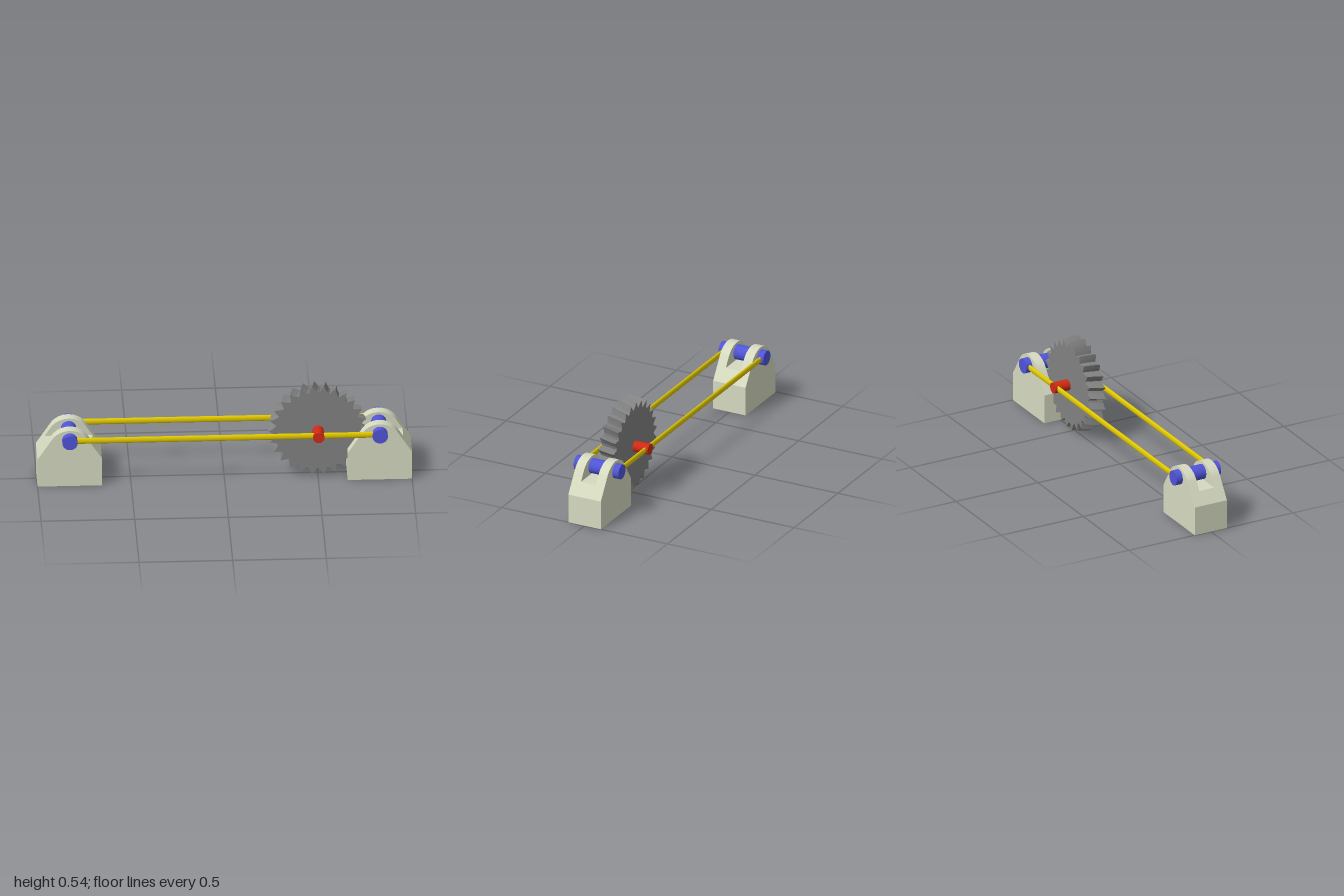
import * as THREE from 'three';

const mat = (color, extra = {}) => new THREE.MeshStandardMaterial({ color, ...extra });
const AXIS_Y = 0.275;

function add(parent, name, geometry, material) {
  const mesh = new THREE.Mesh(geometry, material);
  mesh.name = name;
  parent.add(mesh);
  return mesh;
}

// Ribbon that follows a path of [x, y] points between two depths
function strip(path, z0, z1) {
  const pos = [];
  for (let i = 0; i < path.length - 1; i++) {
    const [a, b] = path[i], [c, d] = path[i + 1];
    pos.push(a, b, z1, c, d, z0, c, d, z1, a, b, z1, a, b, z0, c, d, z0);
  }
  const g = new THREE.BufferGeometry();
  g.setAttribute('position', new THREE.Float32BufferAttribute(pos, 3));
  g.computeVertexNormals();
  return g;
}

const plate = (path, z, back) => {
  const g = new THREE.ShapeGeometry(new THREE.Shape(path.map(p => new THREE.Vector2(...p))));
  if (back) g.rotateY(Math.PI); // outline is symmetric
  return g.translate(0, 0, z);
};

// Forked support, open underneath, with a slot across the rounded top
function support(material) {
  const group = new THREE.Group();
  group.name = 'support';
  const W = 0.098, S = 0.045;
  const right = [[0.172, 0], [0.172, 0.162], [0.127, 0.23]];
  const left = right.map(([x, y]) => [-x, y]).reverse();
  const cap = [right[2]];
  for (let i = 0; i <= 20; i++) {
    const a = THREE.MathUtils.degToRad(33 + 114 * i / 20);
    cap.push([0.115 * Math.cos(a), 0.215 + 0.115 * Math.sin(a)]);
  }
  cap.push(left[0]);
  const outline = [...right, ...cap.slice(1, -1), ...left];
  for (const s of [1, -1]) {
    add(group, 'supportFace', plate(outline, s * W, s < 0), material);
    add(group, 'slotWall', plate(cap, s * S, s > 0), material);
    add(group, 'forkRim', strip(cap, s > 0 ? S : -W, s > 0 ? W : -S), material);
  }
  add(group, 'supportSide', strip(right, -W, W), material);
  add(group, 'supportSide', strip(left, -W, W), material);
  add(group, 'slotFloor', strip([right[2], left[0]], -S, S), material);
  return group;
}

// Toothed wheel: swept teeth, twisted and narrowing towards the back
function sawGeometry() {
  const teeth = 26, pts = [], step = Math.PI * 2 / teeth;
  // one tooth, clockwise lean: [fraction of step, radius]
  const tooth = [[0, 0.265], [0.2, 0.244], [0.38, 0.225], [0.62, 0.233], [0.85, 0.25]];
  for (let i = 0; i < teeth; i++)
    for (const [f, r] of tooth) {
      const a = (i + f) * step;
      pts.push(new THREE.Vector2(r * Math.cos(a), r * Math.sin(a)));
    }
  const depth = 0.088;
  const g = new THREE.ExtrudeGeometry(new THREE.Shape(pts), { depth, steps: 4, bevelEnabled: false });
  const p = g.attributes.position;
  for (let i = 0; i < p.count; i++) {
    const t = 1 - p.getZ(i) / depth; // 0 front, 1 back
    const k = 1 - 0.02 * t - 0.035 * t * t, a = -0.06 * t;
    const x = p.getX(i) * k, y = p.getY(i) * k;
    p.setXY(i, x * Math.cos(a) - y * Math.sin(a), x * Math.sin(a) + y * Math.cos(a));
  }
  g.computeVertexNormals();
  return g.translate(0, 0, -0.041);
}

export function createModel() {
  const model = new THREE.Group();
  const stone = mat(0xd6dac0, { side: THREE.DoubleSide });
  const blue = mat(0x5055d8), red = mat(0xd02a14), yellow = mat(0xe0c800);

  // Supports with their cross pins
  for (const x of [-0.828, 0.828]) {
    const s = support(stone);
    s.position.x = x;
    model.add(s);
    const pin = new THREE.CylinderGeometry(0.041, 0.041, 0.27, 32).rotateX(Math.PI / 2);
    add(model, 'pin', pin, blue).position.set(x, AXIS_Y, 0);
  }

  // Pair of slim rails
  for (const z of [-0.113, 0.109]) {
    const rail = new THREE.CylinderGeometry(0.017, 0.017, 1.656, 20).rotateZ(Math.PI / 2).scale(1, 1, 0.55);
    add(model, 'rail', rail, yellow).position.set(0, AXIS_Y, z);
  }

  // Saw wheel on its axle
  add(model, 'sawWheel', sawGeometry(), mat(0x828282, { flatShading: true })).position.set(0.5, AXIS_Y, 0);
  const axle = new THREE.CylinderGeometry(0.03, 0.03, 0.27, 28).rotateX(Math.PI / 2);
  add(model, 'axle', axle, red).position.set(0.5, AXIS_Y, 0.002);
  return model;
}
